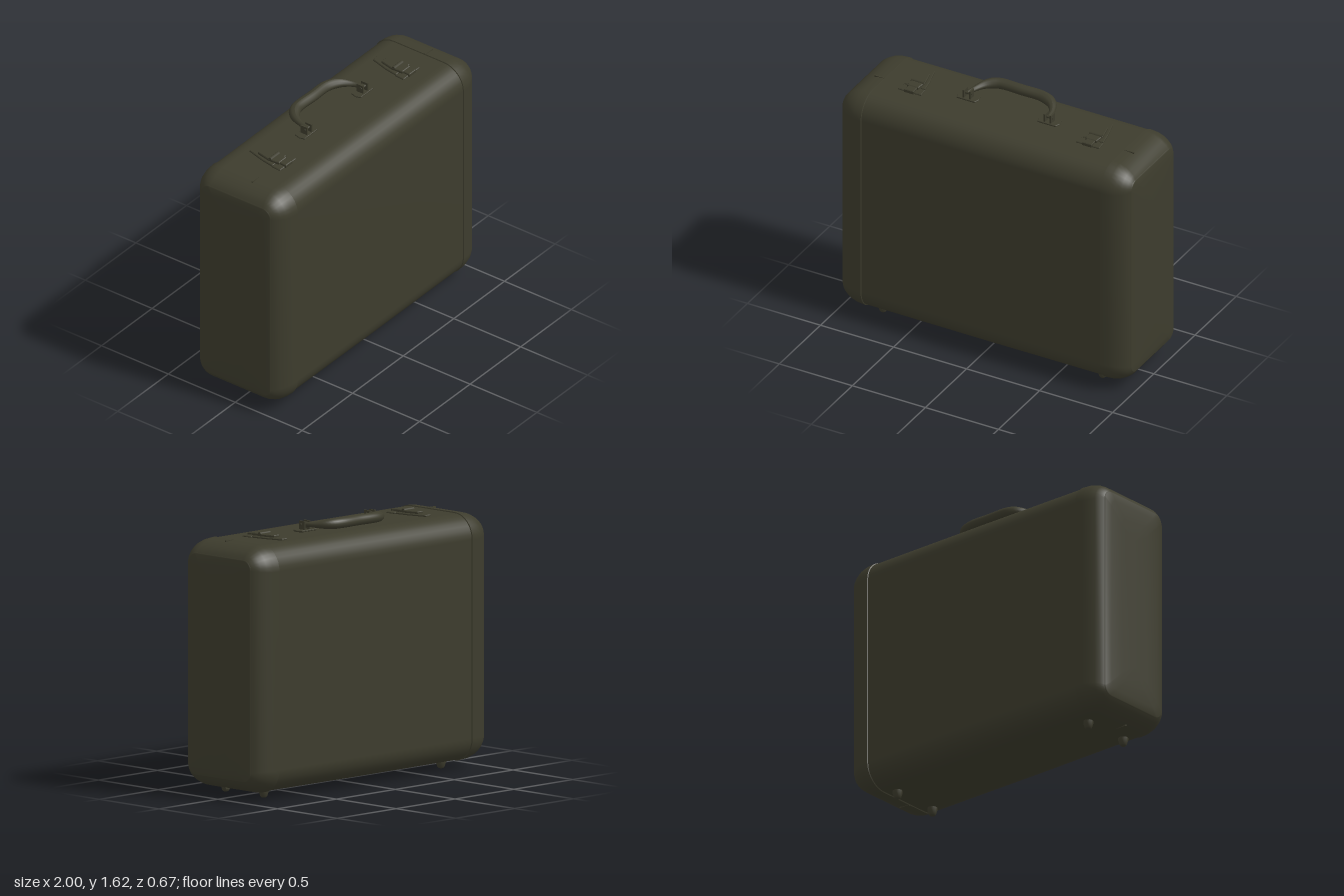
import * as THREE from 'three';

const olive = new THREE.MeshStandardMaterial({ color: 0x3d3c2d });
olive.name = 'dark olive';

const MID_Y = 0.797, MID_Z = -0.003, HALF_Y = 0.75, HALF_Z = 0.336;

function part(name, geometry, x = 0, y = 0, z = 0) {
  const mesh = new THREE.Mesh(geometry, olive);
  mesh.name = name;
  mesh.position.set(x, y, z);
  return mesh;
}

// Rounded-rectangle ring at x, pulled in by inset: returns [x, y, z] points
function ring(x, inset) {
  const hy = HALF_Y - inset, hz = Math.max(HALF_Z - inset, 0);
  const r = Math.min(Math.max(0.15 - inset * 1.15, 0.045), hz);
  const points = [], steps = 8;
  for (let q = 0; q < 4; q++) {
    const sz = q === 0 || q === 3 ? 1 : -1, sy = q < 2 ? 1 : -1;
    for (let k = 0; k <= steps; k++) {
      const a = (q + k / steps) * Math.PI / 2;
      points.push([x, MID_Y + sy * (hy - r) + r * Math.sin(a), MID_Z + sz * (hz - r) + r * Math.cos(a)]);
    }
  }
  return points;
}

// Smooth skin through [x, inset] sections listed with x increasing
function loft(sections) {
  const rings = sections.map(([x, inset]) => ring(x, inset));
  const n = rings[0].length, index = [];
  for (let i = 0; i < rings.length - 1; i++) {
    for (let j = 0; j < n; j++) {
      const a = i * n + j, b = i * n + (j + 1) % n;
      index.push(a, a + n, b, b, a + n, b + n);
    }
  }
  const g = new THREE.BufferGeometry();
  g.setAttribute('position', new THREE.Float32BufferAttribute(rings.flat(2), 3));
  g.setIndex(index);
  g.computeVertexNormals();
  return g;
}

// Flat outline in (x, z) raised by height, with a small bevel
function plate(outline, height, bevel = 0.004) {
  const shape = new THREE.Shape(outline.map(([x, z]) => new THREE.Vector2(x, -z)));
  const g = new THREE.ExtrudeGeometry(shape, {
    depth: height - bevel, bevelEnabled: true, bevelThickness: bevel, bevelSize: bevel, bevelSegments: 1,
  });
  return g.rotateX(-Math.PI / 2);
}

function makeLatch(x) {
  const latch = new THREE.Group();
  latch.name = 'latch';
  latch.position.set(x, 1.538, 0);
  // catch plate on the front half
  latch.add(part('catchPlate', plate([[-0.075, 0.1], [-0.07, 0.045], [0.07, 0.045], [0.075, 0.1]], 0.012)));
  // tapered base on the rear half
  latch.add(part('latchBase', plate(
    [[-0.065, 0.035], [-0.05, -0.05], [-0.018, -0.165], [0.018, -0.165], [0.05, -0.05], [0.065, 0.035]], 0.014)));
  // lever, tongue and hinge pin
  latch.add(part('lever', plate(
    [[-0.034, 0.06], [-0.04, -0.01], [-0.02, -0.1], [0.02, -0.1], [0.04, -0.01], [0.034, 0.06]], 0.028)));
  latch.add(part('tongue', plate([[-0.028, 0.108], [-0.024, 0.05], [0.024, 0.05], [0.028, 0.108]], 0.024)));
  const pin = new THREE.CylinderGeometry(0.012, 0.012, 0.085, 10).rotateZ(Math.PI / 2);
  latch.add(part('hingePin', pin, 0, 0.026, 0));
  return latch;
}

function makeHandle() {
  const handle = new THREE.Group();
  handle.name = 'handle';
  // grip lying back towards the rear, thick in the middle and thin at the ends
  const path = new THREE.CatmullRomCurve3([
    [-0.278, 1.583, -0.005], [-0.262, 1.584, -0.07], [-0.225, 1.589, -0.14], [-0.165, 1.593, -0.178],
    [0, 1.594, -0.18], [0.14, 1.593, -0.178], [0.215, 1.589, -0.145], [0.262, 1.584, -0.075], [0.278, 1.583, -0.005],
  ].map(p => new THREE.Vector3(...p)));
  const segments = 48, sides = 12;
  const grip = new THREE.TubeGeometry(path, segments, 1, sides);
  const pos = grip.attributes.position, v = new THREE.Vector3();
  for (let i = 0; i <= segments; i++) {
    const centre = path.getPointAt(i / segments);
    const swell = THREE.MathUtils.smoothstep(Math.min(i, segments - i) / segments, 0.05, 0.27);
    for (let j = 0; j <= sides; j++) {
      const k = i * (sides + 1) + j;
      v.fromBufferAttribute(pos, k).sub(centre).multiplyScalar(0.017 + 0.019 * swell);
      v.y *= 0.9;
      v.add(centre);
      pos.setXYZ(k, v.x, v.y, v.z);
    }
  }
  grip.computeVertexNormals();
  handle.add(part('grip', grip));

  // mounting plates, lugs and pins
  for (const s of [-1, 1]) {
    const x = s * 0.277;
    handle.add(part('handlePlate', plate(
      [[-0.06, 0.018], [-0.07, -0.015], [-0.06, -0.05], [0.06, -0.05], [0.07, -0.015], [0.06, 0.018]], 0.008, 0.002),
      x, 1.545, 0));
    for (const side of [-1, 1]) {
      handle.add(part('lug', new THREE.BoxGeometry(0.01, 0.055, 0.048), x + side * 0.021, 1.577, -0.014));
    }
    const pin = new THREE.CylinderGeometry(0.008, 0.008, 0.06, 8).rotateZ(Math.PI / 2);
    handle.add(part('handlePin', pin, x, 1.583, -0.008));
  }
  return handle;
}

export function createModel() {
  const model = new THREE.Group();
  model.name = 'suitcase';

  // main shell
  model.add(part('shell', loft([[-0.85, 0.006], [0, 0.004], [0.85, 0.006]])));

  // rounded end caps with a lip, a curved shoulder and a slightly domed end panel
  const layers = {
    capLip: [[0.815, 0.012], [0.82, 0]],
    endCap: [[0.82, 0], [0.87, 0.004], [0.91, 0.015], [0.945, 0.034], [0.97, 0.054], [0.985, 0.077]],
    endPanel: [[0.985, 0.077], [0.991, 0.083], [0.997, 0.13], [1, 0.22], [1, HALF_Z]],
  };
  for (const [name, sections] of Object.entries(layers)) {
    model.add(part(name, loft(sections)));
    model.add(part(name, loft(sections.map(([x, inset]) => [-x, inset]).reverse())));
  }

  // thin closing seams across the caps, above and below
  for (const s of [-1, 1]) {
    for (const y of [1.544, 0.05]) {
      model.add(part('capSeam', new THREE.BoxGeometry(0.07, 0.009, 0.008), s * 0.855, y, 0.043));
    }
  }

  model.add(makeLatch(-0.615), makeLatch(0.605), makeHandle());

  // four small feet
  const foot = new THREE.LatheGeometry(
    [[0, 0], [0.014, 0], [0.022, 0.008], [0.03, 0.035], [0.031, 0.065]].map(p => new THREE.Vector2(...p)), 14);
  for (const x of [-0.752, 0.752]) {
    for (const z of [0.178, -0.14]) model.add(part('foot', foot, x, 0.003, z));
  }
  return model;
}
